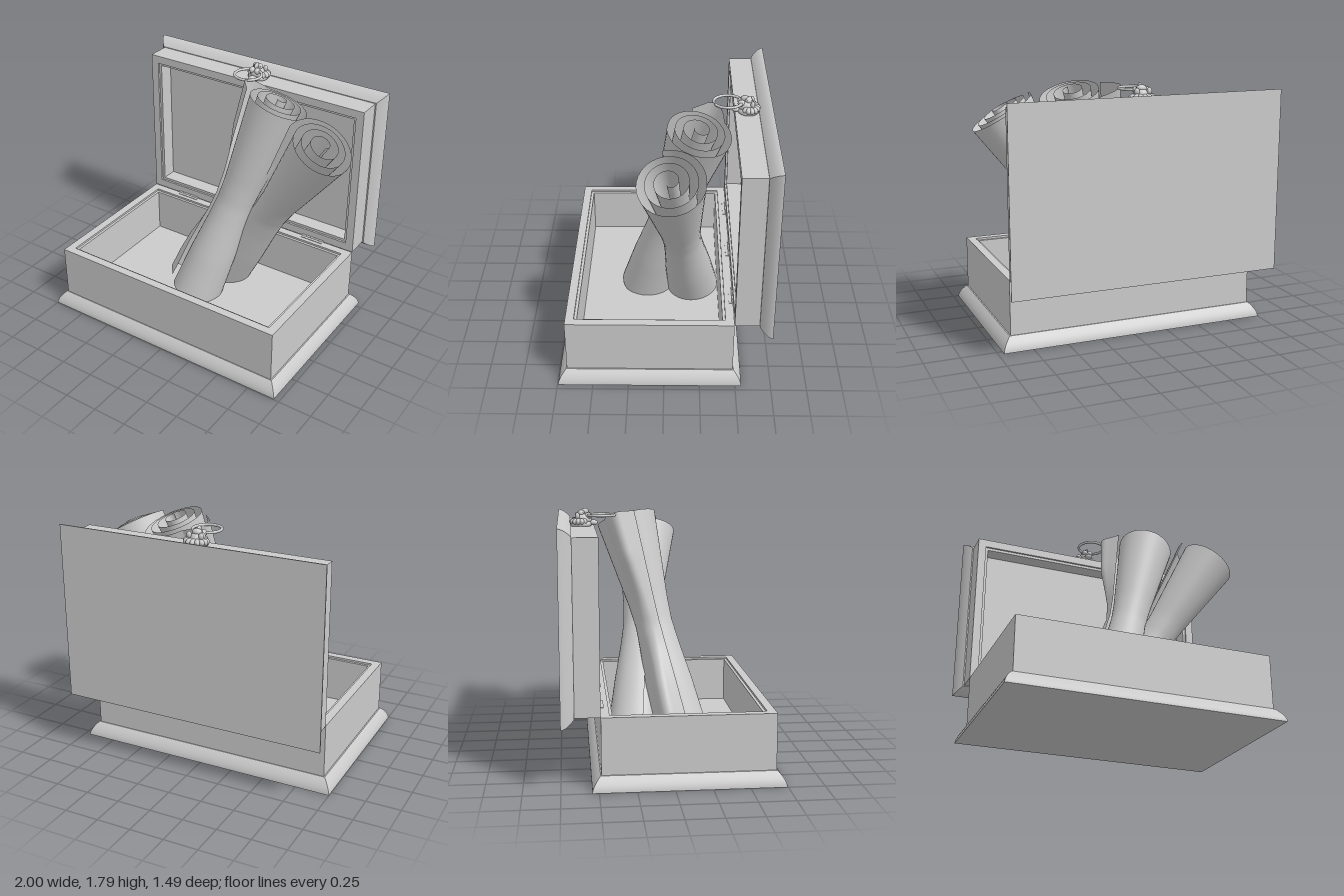
import * as THREE from 'three';
import { toCreasedNormals } from 'three/addons/utils/BufferGeometryUtils.js';

const grey = new THREE.MeshStandardMaterial({ color: 0xcccccc });
const sheet = new THREE.MeshStandardMaterial({ color: 0xcccccc, side: THREE.DoubleSide });

function add(parent, name, geometry, pos = [0, 0, 0]) {
  const mesh = new THREE.Mesh(geometry, grey);
  mesh.name = name;
  mesh.position.set(...pos);
  parent.add(mesh);
  return mesh;
}

function rectPath(Type, w, h) {
  return new Type([[-w, -h], [w, -h], [w, h], [-w, h]].map(([x, y]) => new THREE.Vector2(x / 2, y / 2)));
}

// Rectangular frame from z0 to z1 with the given wall thickness
function frame(w, h, wall, z0, z1) {
  const shape = rectPath(THREE.Shape, w, h);
  shape.holes.push(rectPath(THREE.Path, w - 2 * wall, h - 2 * wall));
  return new THREE.ExtrudeGeometry(shape, { depth: z1 - z0, bevelEnabled: false }).translate(0, 0, z0);
}

// Slab with softly rounded sides: rectangular loops that shrink along z
function moulding(w, h, depth, inset) {
  const steps = 8, pos = [], index = [];
  for (let i = 0; i <= steps; i++) {
    const k = i / steps, d = inset * Math.pow(k, 1.75);
    for (const [sx, sy] of [[-1, -1], [1, -1], [1, 1], [-1, 1]]) {
      pos.push(sx * (w / 2 - d), sy * (h / 2 - d), depth * k);
    }
  }
  for (let i = 0; i < steps; i++) for (let j = 0; j < 4; j++) {
    const a = i * 4 + j, b = i * 4 + (j + 1) % 4;
    index.push(a, b, b + 4, a, b + 4, a + 4);
  }
  const t = steps * 4;
  index.push(0, 2, 1, 0, 3, 2, t, t + 1, t + 2, t, t + 2, t + 3);
  const g = new THREE.BufferGeometry();
  g.setAttribute('position', new THREE.Float32BufferAttribute(pos, 3));
  g.setIndex(index);
  return toCreasedNormals(g, 0.5);
}

// Half of the case, open towards +z: moulding, stepped walls and floor panel
function caseHalf(name, mould, depth) {
  const g = new THREE.Group(), w = 1.83, h = 1.168;
  g.name = name;
  add(g, name + 'Moulding', moulding(1.96, 1.29, mould, 0.056));
  add(g, name + 'Walls', frame(w, h, 0.06, mould, depth));
  add(g, name + 'InnerLip', frame(w - 0.12, h - 0.12, 0.02, mould, depth - 0.015));
  add(g, name + 'Panel', new THREE.BoxGeometry(w - 0.14, h - 0.14, 0.04), [0, 0, mould + 0.018]);
  return g;
}

// Rolled sheet: a spiral section swept along an hourglass, optionally with a loose outer fold
function scroll(name, bottom, top, bottomRadius, topRadius, endAngle, fold) {
  const section = [], turns = 3.6, n = 130, rows = 36;
  for (let i = 0; i <= n; i++) {
    const k = i / n, rho = 0.12 + 0.88 * Math.pow(k, 0.8), a = endAngle + (1 - k) * turns * Math.PI * 2;
    section.push([rho * Math.cos(a), rho * Math.sin(a)]);
  }
  if (fold) {
    const curve = new THREE.SplineCurve([section[n], ...fold].map(p => new THREE.Vector2(p[0], p[1])));
    for (const p of curve.getPoints(28).slice(1)) section.push([p.x, p.y]);
  }
  const stations = [[0, bottomRadius], [0.22, 0.19], [0.4, 0.16], [0.5, 0.15], [0.6, 0.16], [1, topRadius]];
  const radiusAt = t => {
    const i = Math.max(1, stations.findIndex(s => t <= s[0] + 1e-9));
    const [a, ra] = stations[i - 1], [b, rb] = stations[i];
    return ra + (rb - ra) * (t - a) / (b - a);
  };
  const b = new THREE.Vector3(...bottom), e = new THREE.Vector3(...top);
  const axis = e.clone().sub(b).normalize();
  const u = new THREE.Vector3(1, 0, 0).addScaledVector(axis, -axis.x).normalize();
  const v = u.clone().cross(axis);
  const pos = [], index = [], m = section.length;
  for (let j = 0; j <= rows; j++) {
    const t = j / rows, r = radiusAt(t);
    // the fold is pressed flat at the waist
    const flare = 0.1 + 0.9 * Math.min(1, (r - 0.15) / 0.05);
    for (const [x, y] of section) {
      const rho = Math.hypot(x, y);
      const s = r * (rho > 1 ? (1 + (rho - 1) * flare) / rho : 1);
      // inner turns stand slightly proud at the top
      const p = b.clone().lerp(e, t).addScaledVector(u, x * s).addScaledVector(v, y * s)
        .addScaledVector(axis, 0.055 * t * Math.max(0, 1 - rho));
      pos.push(p.x, p.y, p.z);
    }
  }
  for (let j = 0; j < rows; j++) for (let i = 0; i < m - 1; i++) {
    const a = j * m + i;
    index.push(a, a + 1, a + m + 1, a, a + m + 1, a + m);
  }
  const g = new THREE.BufferGeometry();
  g.setAttribute('position', new THREE.Float32BufferAttribute(pos, 3));
  g.setIndex(index);
  g.computeVertexNormals();
  const mesh = new THREE.Mesh(g, sheet);
  mesh.name = name;
  return mesh;
}

// Animal-mask clasp lying face up on the lid edge, holding a ring
function clasp() {
  const g = new THREE.Group();
  g.name = 'clasp';
  const ball = (name, x, y, z, rx, ry, rz) =>
    add(g, name, new THREE.SphereGeometry(1, 16, 12).scale(rx, ry, rz), [x, y, z]);
  ball('maneBase', 0, 0.015, -0.015, 0.078, 0.035, 0.078);
  for (let i = 0; i < 11; i++) {
    const a = -0.75 + (i / 10) * (Math.PI + 1.5);
    const lock = ball('maneLock', 0.06 * Math.cos(a), 0.035, -0.025 - 0.04 * Math.sin(a), 0.034, 0.024, 0.021);
    lock.rotation.y = a;
  }
  ball('face', 0, 0.05, 0, 0.05, 0.045, 0.062);
  ball('brow', 0, 0.092, -0.012, 0.036, 0.024, 0.026);
  ball('nose', 0, 0.105, 0.015, 0.012, 0.022, 0.028);
  ball('chin', 0, 0.025, 0.075, 0.03, 0.02, 0.03);
  for (const s of [-1, 1]) {
    ball('cheek', s * 0.021, 0.075, 0.038, 0.023, 0.024, 0.026);
    ball('eye', s * 0.022, 0.095, 0.006, 0.009, 0.009, 0.008);
    ball('ear', s * 0.045, 0.075, -0.04, 0.018, 0.024, 0.016);
  }
  const ring = add(g, 'ring', new THREE.TorusGeometry(0.099, 0.01, 12, 48), [0, 0.078, 0.13]);
  ring.rotation.x = Math.PI / 2;
  return g;
}

export function createModel() {
  const model = new THREE.Group();
  model.name = 'scrollBox';
  const cx = -0.02;

  // Box and upright open lid
  const base = caseHalf('base', 0.1, 0.49);
  base.rotation.x = -Math.PI / 2;
  base.position.set(cx, 0, 0.1);
  const lid = caseHalf('lid', 0.09, 0.26);
  lid.position.set(cx, 1.075, -0.745);
  model.add(base, lid);

  // Hinges with separate knuckles
  for (const x of [-0.58, 0, 0.58]) {
    const hinge = new THREE.Group();
    hinge.name = 'hinge';
    hinge.position.set(cx + x, 0.492, -0.485);
    for (let i = -2; i <= 2; i++) {
      const k = add(hinge, 'knuckle', new THREE.CylinderGeometry(0.01, 0.01, 0.034, 12), [i * 0.036, 0, 0]);
      k.rotation.z = Math.PI / 2;
    }
    add(hinge, 'hingeLeaf', new THREE.BoxGeometry(0.18, 0.004, 0.03), [0, 0, 0.015]);
    add(hinge, 'hingePin', new THREE.CylinderGeometry(0.005, 0.005, 0.2, 10)).rotation.z = Math.PI / 2;
    model.add(hinge);
  }

  // Two rolled sheets leaning to the left side
  const fold = [[-1.0, -0.7], [-1.25, -0.6], [-1.38, -0.43], [-1.36, -0.25], [-1.2, -0.06], [-0.98, 0.2]];
  model.add(scroll('frontScroll', [-0.1, 0.14, 0.15], [0.35, 1.685, -0.22], 0.212, 0.24, -2.3, fold));
  model.add(scroll('sideScroll', [-0.06, 0.14, -0.2], [0.802, 1.555, -0.035], 0.215, 0.254, 3.0));

  const mask = clasp();
  mask.position.set(cx, 1.659, -0.565);
  model.add(mask);
  return model;
}
